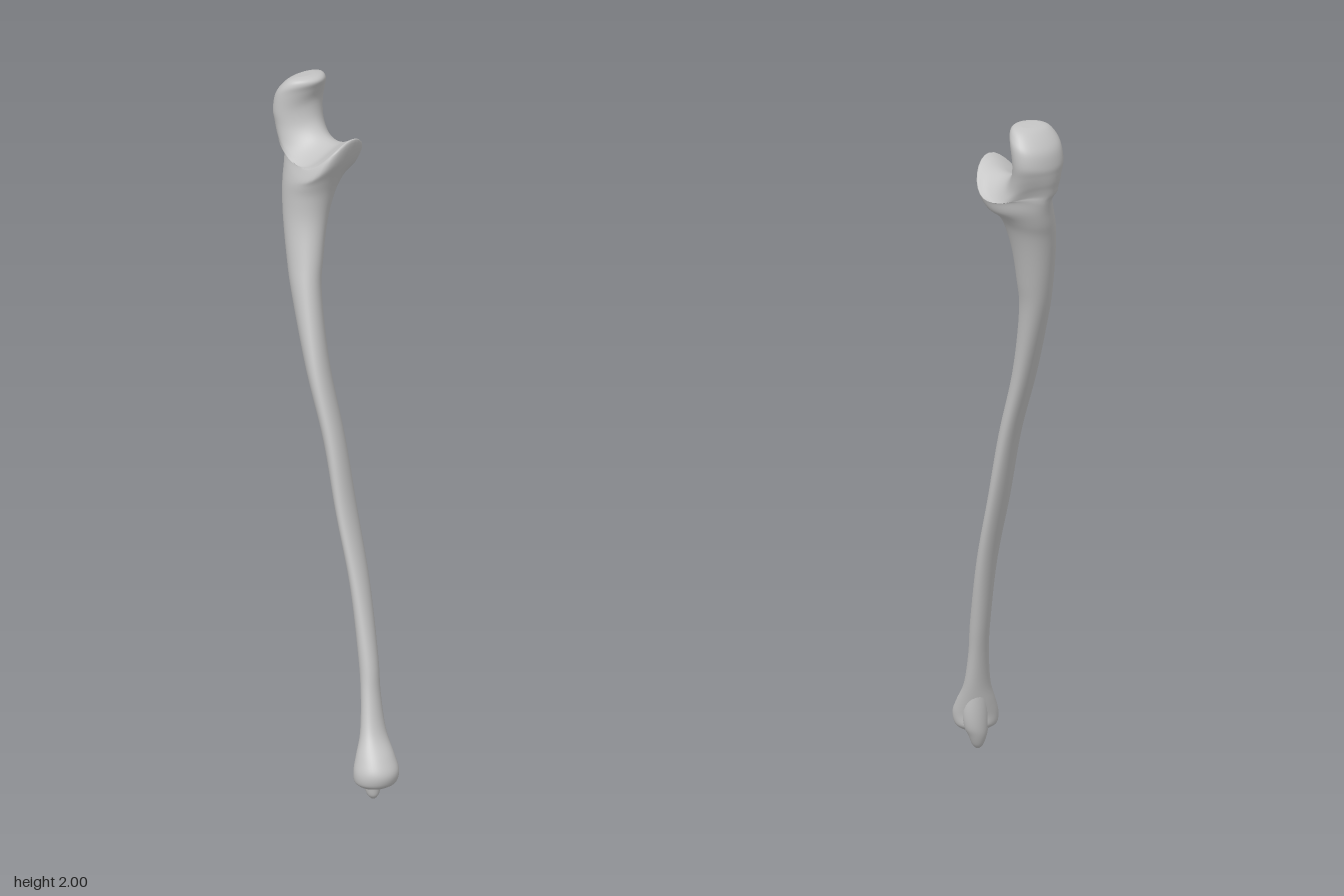
import * as THREE from 'three';

const SIDES = 40, STEPS = 5;

// Smooth interpolation of the section rows, column by column
function refine(rows) {
  const out = [];
  const at = (i) => rows[Math.min(Math.max(i, 0), rows.length - 1)];
  for (let i = 0; i < rows.length - 1; i++) {
    for (let s = 0; s < STEPS; s++) {
      const t = s / STEPS;
      out.push(rows[i].map((b, k) => {
        const a = at(i - 1)[k], c = at(i + 1)[k], d = at(i + 2)[k];
        return b + 0.5 * t * (c - a + t * (2 * a - 5 * b + 4 * c - d + t * (3 * (b - c) + d - a)));
      }));
    }
  }
  out.push(rows[rows.length - 1]);
  return out;
}

// Skin over tilted oval sections:
// [frontY, frontZ, backY, backZ, xMin, xMax, skew, sideDrop, backWidening]
function loft(rows) {
  const rings = refine(rows), pos = [], idx = [];
  for (const [yf, zf, yb, zb, x0, x1, skew, drop, widen] of rings) {
    for (let j = 0; j < SIDES; j++) {
      const a = (j / SIDES) * Math.PI * 2, t = (1 + Math.cos(a)) / 2;
      pos.push(
        (x0 + x1) / 2 + ((x1 - x0) / 2) * Math.sin(a + skew) * (1 + widen * (0.5 - t)),
        yb + (yf - yb) * t - 2 * t * drop * Math.sin(a) ** 2,
        zb + (zf - zb) * t
      );
    }
  }
  const last = (rings.length - 1) * SIDES;
  for (let r = 0; r < last; r += SIDES) {
    for (let j = 0; j < SIDES; j++) {
      const k = (j + 1) % SIDES;
      idx.push(r + j, r + k, r + SIDES + j, r + k, r + SIDES + k, r + SIDES + j);
    }
  }
  // End caps
  for (const [start, top] of [[0, false], [last, true]]) {
    const [yf, zf, yb, zb, x0, x1] = rings[start / SIDES];
    const c = pos.length / 3;
    pos.push((x0 + x1) / 2, (yf + yb) / 2, (zf + zb) / 2);
    for (let j = 0; j < SIDES; j++) {
      const p = start + j, q = start + ((j + 1) % SIDES);
      idx.push(c, top ? p : q, top ? q : p);
    }
  }
  const g = new THREE.BufferGeometry();
  g.setAttribute('position', new THREE.Float32BufferAttribute(pos, 3));
  g.setIndex(idx);
  g.computeVertexNormals();
  return g;
}

// Level section: y, frontZ, backZ, xMin, xMax, skew
const level = ([y, zf, zb, x0, x1, skew]) => [y, zf, y, zb, x0, x1, skew, 0, 0];

export function createModel() {
  const bone = new THREE.MeshStandardMaterial({ color: 0xc4c4c4 });
  bone.name = 'bone grey';
  const group = new THREE.Group();
  group.name = 'forearmBone';
  const add = (name, rows) => {
    const mesh = new THREE.Mesh(loft(rows), bone);
    mesh.name = name;
    group.add(mesh);
  };

  // Rounded lower head and slender shaft
  const shaft = [
    [0.055, 0.3, 0.215, -0.185, -0.086, 0],
    [0.068, 0.317, 0.2, -0.2, -0.074, 0],
    [0.1, 0.322, 0.197, -0.202, -0.07, 0],
    [0.14, 0.3, 0.192, -0.185, -0.066, -0.1],
    [0.2, 0.256, 0.185, -0.152, -0.06, -0.2],
    [0.3, 0.225, 0.165, -0.125, -0.05, -0.3],
    [0.4, 0.205, 0.14, -0.11, -0.035, -0.35],
    [0.6, 0.15, 0.09, -0.092, -0.007, -0.4],
    [0.8, 0.09, 0.03, -0.087, 0.01, -0.45],
    [1.0, 0.045, -0.03, -0.082, 0.02, -0.55],
    [1.2, -0.015, -0.105, -0.08, 0.03, -0.55],
    [1.4, -0.07, -0.18, -0.055, 0.055, -0.4],
    [1.5, -0.087, -0.212, -0.037, 0.078, -0.25],
  ].map(level);

  // Flared upper end: front lip, hooked notch and rear knob
  const upperEnd = [
    [1.6, -0.095, 1.6, -0.24, -0.02, 0.105, -0.15, 0, 0],
    [1.68, -0.085, 1.66, -0.257, -0.015, 0.13, -0.15, 0, -0.15],
    [1.74, -0.065, 1.7, -0.27, -0.015, 0.155, -0.2, 0.01, -0.3],
    [1.8, -0.038, 1.74, -0.28, -0.012, 0.182, -0.2, 0.035, -0.45],
    [1.857, -0.024, 1.77, -0.288, 0, 0.193, -0.15, 0.05, -0.5],
    [1.85, -0.045, 1.785, -0.292, 0.005, 0.193, -0.1, 0.05, -0.45],
    [1.83, -0.085, 1.8, -0.297, 0.012, 0.187, 0, 0.045, -0.3],
    [1.825, -0.125, 1.82, -0.302, 0.022, 0.183, 0, 0.035, -0.15],
    [1.838, -0.162, 1.84, -0.308, 0.03, 0.183, 0, 0.025, 0],
    [1.87, -0.19, 1.865, -0.313, 0.034, 0.19, 0, 0.015, 0.1],
    [1.92, -0.2, 1.89, -0.316, 0.033, 0.199, 0, 0.01, 0.2],
    [1.96, -0.188, 1.93, -0.31, 0.036, 0.199, 0, 0, 0.3],
    [1.985, -0.178, 1.96, -0.292, 0.042, 0.188, 0, 0, 0.4],
    [1.997, -0.188, 1.985, -0.267, 0.055, 0.172, 0, 0, 0.3],
    [2.0, -0.21, 1.995, -0.245, 0.08, 0.145, 0, 0, 0.2],
  ];
  add('shaftWithNotchedEnd', [...shaft, ...upperEnd]);

  // Small pointed tip merging into the lower head
  add('lowerPoint', [
    [0, 0.237, 0.224, -0.122, -0.111, 0],
    [0.012, 0.246, 0.213, -0.133, -0.1, 0],
    [0.04, 0.252, 0.202, -0.141, -0.086, 0],
    [0.07, 0.262, 0.197, -0.147, -0.073, 0],
    [0.12, 0.26, 0.193, -0.145, -0.068, 0],
    [0.2, 0.225, 0.189, -0.13, -0.075, 0],
  ].map(level));

  return group;
}
